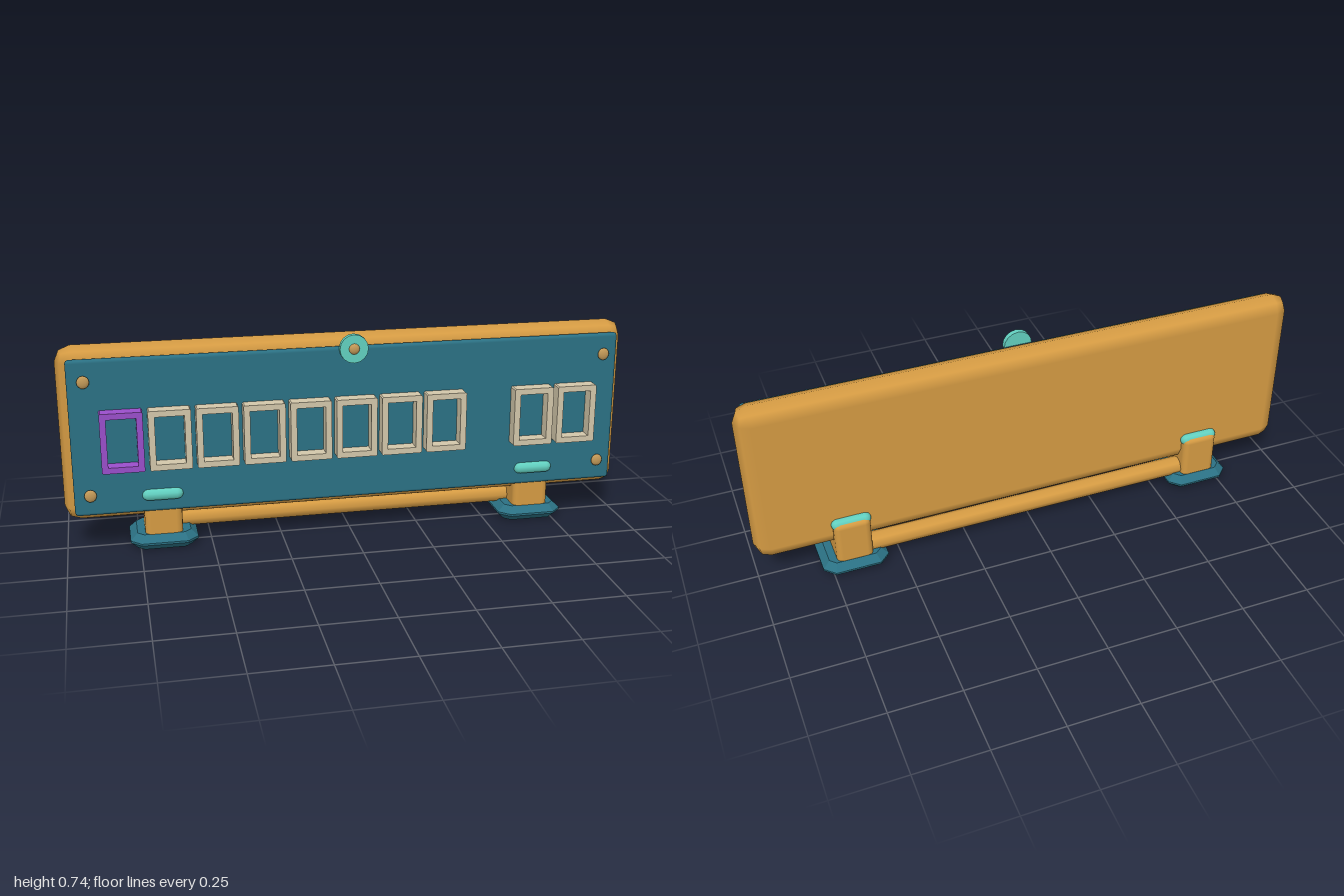
import * as THREE from 'three';
import { RoundedBoxGeometry } from 'three/addons/geometries/RoundedBoxGeometry.js';

const mat = (name, color) => Object.assign(new THREE.MeshStandardMaterial({ color }), { name });

export function createModel() {
  const gold = mat('gold', 0xd59b43);
  const teal = mat('teal', 0x2b7184);
  const mint = mat('mint', 0x62d0c0);
  const cream = mat('cream', 0xd3c7aa);
  const purple = mat('purple', 0x9a4fcb);
  const brass = mat('brass', 0xc49a58);

  const model = new THREE.Group();
  model.name = 'displayBoard';
  const add = (name, geometry, material, x, y, z, parent = model) => {
    const mesh = new THREE.Mesh(geometry, material);
    mesh.name = name;
    mesh.position.set(x, y, z);
    parent.add(mesh);
    return mesh;
  };
  const rect = (w, h, c = 0, Type = THREE.Shape) => {
    const a = w / 2, b = h / 2;
    const pts = [[-a + c, -b], [a - c, -b], [a, -b + c], [a, b - c], [a - c, b], [-a + c, b], [-a, b - c], [-a, -b + c]];
    const corners = c ? pts : [[-a, -b], [a, -b], [a, b], [-a, b]];
    return new Type(corners.map(([x, y]) => new THREE.Vector2(x, y)));
  };

  // Board and face plate
  add('board', new RoundedBoxGeometry(2, 0.62, 0.108, 1, 0.054), gold, 0, 0.415, -0.006);
  add('facePlate', new RoundedBoxGeometry(1.93, 0.55, 0.026, 1, 0.012), teal, 0, 0.415, 0.059);

  // Corner bolts
  const bolt = new THREE.SphereGeometry(1, 12, 8);
  for (const x of [-0.91, 0.91]) {
    for (const y of [0.217, 0.617]) {
      add('cornerBolt', bolt, brass, x, y, 0.081).scale.set(0.021, 0.022, 0.009);
    }
  }

  // Row of tile frames, with one empty slot
  const frameShape = rect(0.143, 0.21, 0.004);
  frameShape.holes.push(rect(0.1, 0.168, 0, THREE.Path));
  const frame = new THREE.ExtrudeGeometry(frameShape, { depth: 0.052, bevelEnabled: false });
  for (let i = 0; i < 11; i++) {
    if (i === 8) continue;
    add('tileFrame', frame, i === 0 ? purple : cream, -0.795 + 0.16 * i, 0.41, 0.067);
  }

  // Round badge at the top centre
  const disc = new THREE.CylinderGeometry(0.05, 0.05, 0.019, 16).rotateX(Math.PI / 2);
  add('badgeDisc', disc, mint, 0, 0.685, 0.081);
  add('badgeBolt', bolt, brass, 0, 0.685, 0.09).scale.set(0.019, 0.019, 0.01);

  // Feet: chamfered pads with a square opening underneath
  const padShape = rect(0.185, 0.16, 0.022);
  padShape.holes.push(rect(0.12, 0.12, 0, THREE.Path));
  const pad = new THREE.ExtrudeGeometry(padShape, {
    depth: 0.007, bevelThickness: 0.024, bevelSize: 0.025, bevelSegments: 1,
  }).rotateX(-Math.PI / 2);
  const post = new RoundedBoxGeometry(0.13, 0.205, 0.16, 2, 0.022);
  const pin = new THREE.CapsuleGeometry(0.022, 0.097, 4, 10).rotateZ(Math.PI / 2);

  for (const side of [-1, 1]) {
    const stand = new THREE.Group();
    stand.name = side < 0 ? 'rightStand' : 'leftStand';
    stand.position.x = side * 0.667;
    model.add(stand);
    add('footPad', pad, teal, 0, 0.024, -0.0125, stand);
    add('post', post, gold, 0, 0.1125, -0.012, stand);
    add('frontPin', pin, mint, 0, 0.203, 0.067, stand);
    add('backPin', pin, mint, 0, 0.202, -0.063, stand);
  }

  // Rail joining the two stands
  const rail = new THREE.CylinderGeometry(0.034, 0.034, 1.24, 8).rotateZ(Math.PI / 2);
  add('rail', rail, gold, 0, 0.07, -0.04);

  return model;
}
